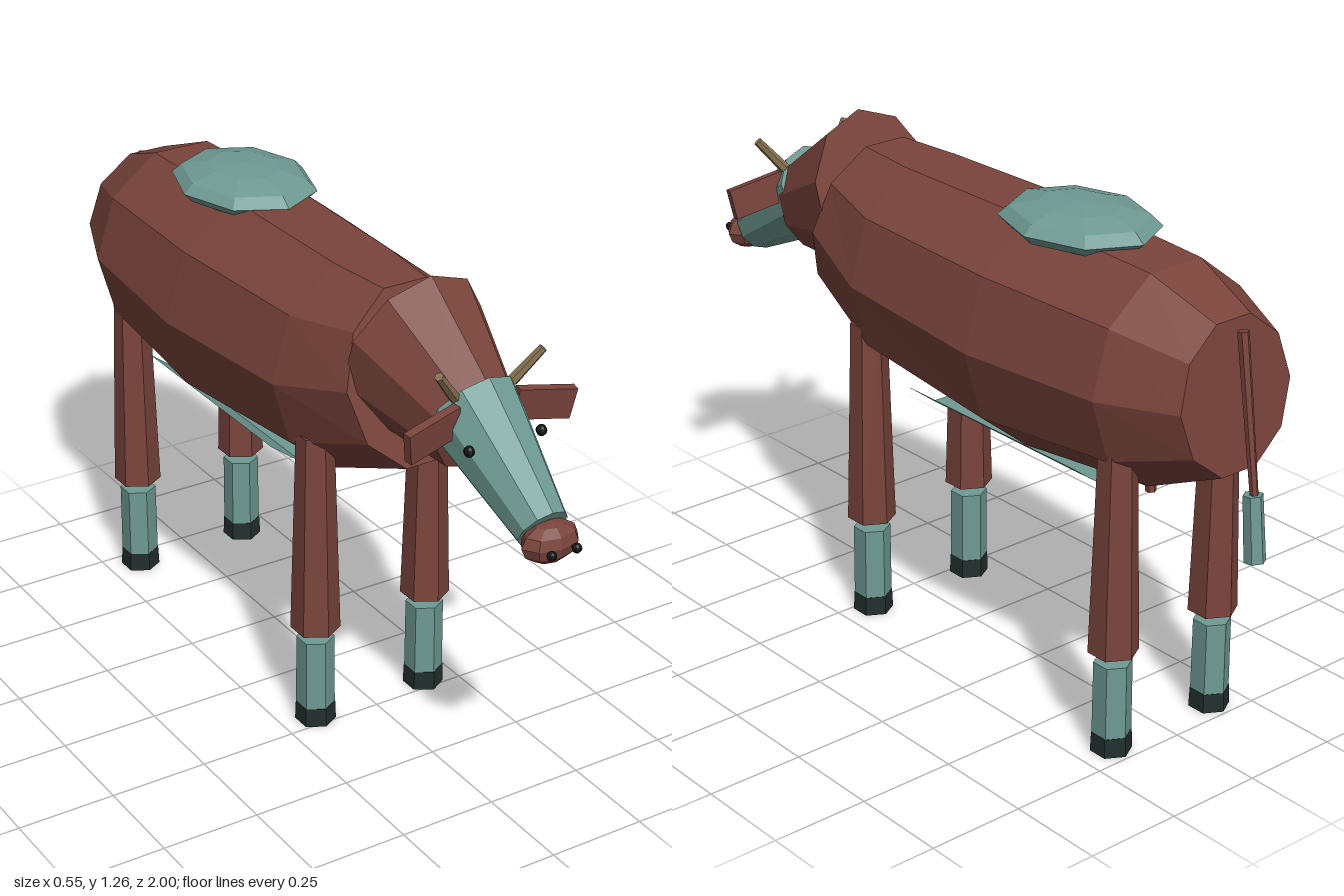
import * as THREE from 'three';

const paint = (name, color, side = THREE.FrontSide) => {
  const m = new THREE.MeshStandardMaterial({ color, flatShading: true, side });
  m.name = name;
  return m;
};

export function createModel() {
  const cow = new THREE.Group();
  cow.name = 'cow';
  const hide = paint('red brown hide', 0x7a443c);
  const patch = paint('grey green patches', 0x6f9a93, THREE.DoubleSide);
  const hoofDark = paint('dark hoof', 0x222e2d);
  const black = paint('black', 0x111414);
  const horn = paint('tan horn', 0x857250);

  const add = (name, geometry, material, x = 0, y = 0, z = 0) => {
    const mesh = new THREE.Mesh(geometry, material);
    mesh.name = name;
    mesh.position.set(x, y, z);
    cow.add(mesh);
    return mesh;
  };

  // Squashed low-poly ball
  const ball = (name, material, [x, y, z], [rx, ry, rz], w = 8, h = 6) => {
    const mesh = add(name, new THREE.SphereGeometry(1, w, h), material, x, y, z);
    mesh.scale.set(rx, ry, rz);
    return mesh;
  };

  // Tapered prism from point a to point b in a plane of constant x
  const taper = (name, material, a, b, ra, rb, sides, widthScale = 1) => {
    const [ax, ay, az] = a, [bx, by, bz] = b;
    const len = Math.hypot(by - ay, bz - az);
    const g = new THREE.CylinderGeometry(rb, ra, len, sides);
    const mesh = add(name, g, material, (ax + bx) / 2, (ay + by) / 2, (az + bz) / 2);
    mesh.rotation.x = Math.atan2(bz - az, by - ay);
    mesh.scale.x = widthScale;
    return mesh;
  };

  // Barrel body: ten-sided sections [z, centre y, half width, half height, lean]
  const sections = [
    [-0.897, 0.935, 0.17, 0.188, 0.1],
    [-0.70, 0.925, 0.25, 0.272, 0.02],
    [-0.29, 0.912, 0.275, 0.303, 0],
    [0.17, 0.93, 0.25, 0.282, 0],
    [0.402, 0.99, 0.19, 0.22, -0.25],
  ];
  const N = 10, pos = [], idx = [];
  for (const [z, cy, rx, ry, lean] of sections) {
    for (let i = 0; i < N; i++) {
      const t = (i / N) * Math.PI * 2, dy = Math.sin(t) * ry;
      pos.push(Math.cos(t) * rx, cy + dy, z + lean * dy);
    }
  }
  const last = sections.length - 1, rear = (last + 1) * N, front = rear + 1;
  pos.push(0, sections[0][1], sections[0][0], 0, sections[last][1], sections[last][0]);
  for (let i = 0; i < N; i++) {
    const j = (i + 1) % N;
    for (let s = 0; s < last; s++) {
      const a = s * N + i, b = s * N + j;
      idx.push(a, b, b + N, a, b + N, a + N);
    }
    idx.push(rear, j, i, front, last * N + i, last * N + j);
  }
  const bodyGeo = new THREE.BufferGeometry();
  bodyGeo.setAttribute('position', new THREE.Float32BufferAttribute(pos, 3));
  bodyGeo.setIndex(idx);
  bodyGeo.computeVertexNormals();
  add('body', bodyGeo, hide);

  // Patch on the back
  ball('backPatch', patch, [0, 1.2, -0.375], [0.17, 0.048, 0.215]);

  // Belly patch: a folded sheet that follows the underside
  const sheet = new THREE.PlaneGeometry(3, 0.61, 3, 2);
  sheet.rotateX(-Math.PI / 2);
  const p = sheet.attributes.position;
  for (let i = 0; i < p.count; i++) {
    const u = p.getX(i), outer = Math.abs(u) > 1;
    p.setXYZ(i, Math.sign(u) * (outer ? 0.182 : 0.092), outer ? 0.692 : 0.624, p.getZ(i) - 0.255);
  }
  sheet.computeVertexNormals();
  add('bellyPatch', sheet, patch);

  // Neck, head and muzzle
  taper('neck', hide, [0, 1.055, 0.382], [0, 0.957, 0.652], 0.215, 0.124, 10, 0.86);
  taper('head', patch, [0, 1.0, 0.625], [0, 0.82, 0.905], 0.118, 0.066, 10, 0.95);
  ball('muzzle', hide, [0, 0.803, 0.933], [0.076, 0.05, 0.048]);

  // Udder
  ball('udder', hide, [0, 0.665, -0.56], [0.09, 0.05, 0.085]);

  // Paired parts
  for (const s of [-1, 1]) {
    const side = s > 0 ? 'left' : 'right';
    ball(side + 'Eye', black, [s * 0.098, 0.972, 0.757], [0.013, 0.014, 0.014]);
    ball(side + 'Nostril', black, [s * 0.034, 0.80, 0.987], [0.012, 0.012, 0.012]);

    const ear = add(side + 'Ear', new THREE.BoxGeometry(0.15, 0.078, 0.022), hide, s * 0.15, 1.0, 0.69);
    ear.rotation.set(0.12, s * -0.16, s * 0.12);
    ear.rotation.z = s * -0.16;

    // Horns lean outward, up and slightly forward
    const from = new THREE.Vector3(s * 0.078, 1.062, 0.667);
    const to = new THREE.Vector3(s * 0.14, 1.14, 0.695);
    const dir = to.clone().sub(from);
    const h = add(side + 'Horn', new THREE.CylinderGeometry(0.011, 0.014, dir.length(), 6), horn);
    h.position.copy(from).add(to).multiplyScalar(0.5);
    h.quaternion.setFromUnitVectors(new THREE.Vector3(0, 1, 0), dir.normalize());

    add(side + 'Teat', new THREE.CylinderGeometry(0.01, 0.014, 0.09, 6), hide, s * 0.05, 0.615, -0.583);

    // Legs: upper part, sock and hoof
    for (const [end, z] of [['Front', 0.217], ['Rear', -0.692]]) {
      const x = s * 0.161, name = side + end;
      add(name + 'UpperLeg', new THREE.CylinderGeometry(0.046, 0.0615, 0.535, 6), hide, x, 0.5325, z);
      add(name + 'Sock', new THREE.CylinderGeometry(0.047, 0.048, 0.19, 6), patch, x, 0.143, z);
      add(name + 'Hoof', new THREE.CylinderGeometry(0.049, 0.051, 0.05, 6), hoofDark, x, 0.025, z);
    }
  }

  // Tail and tuft
  taper('tail', hide, [0, 0.7, -0.967], [0, 1.095, -0.91], 0.01, 0.014, 6);
  taper('tailTuft', patch, [0, 0.557, -0.976], [0, 0.718, -0.961], 0.026, 0.024, 6);

  return cow;
}
